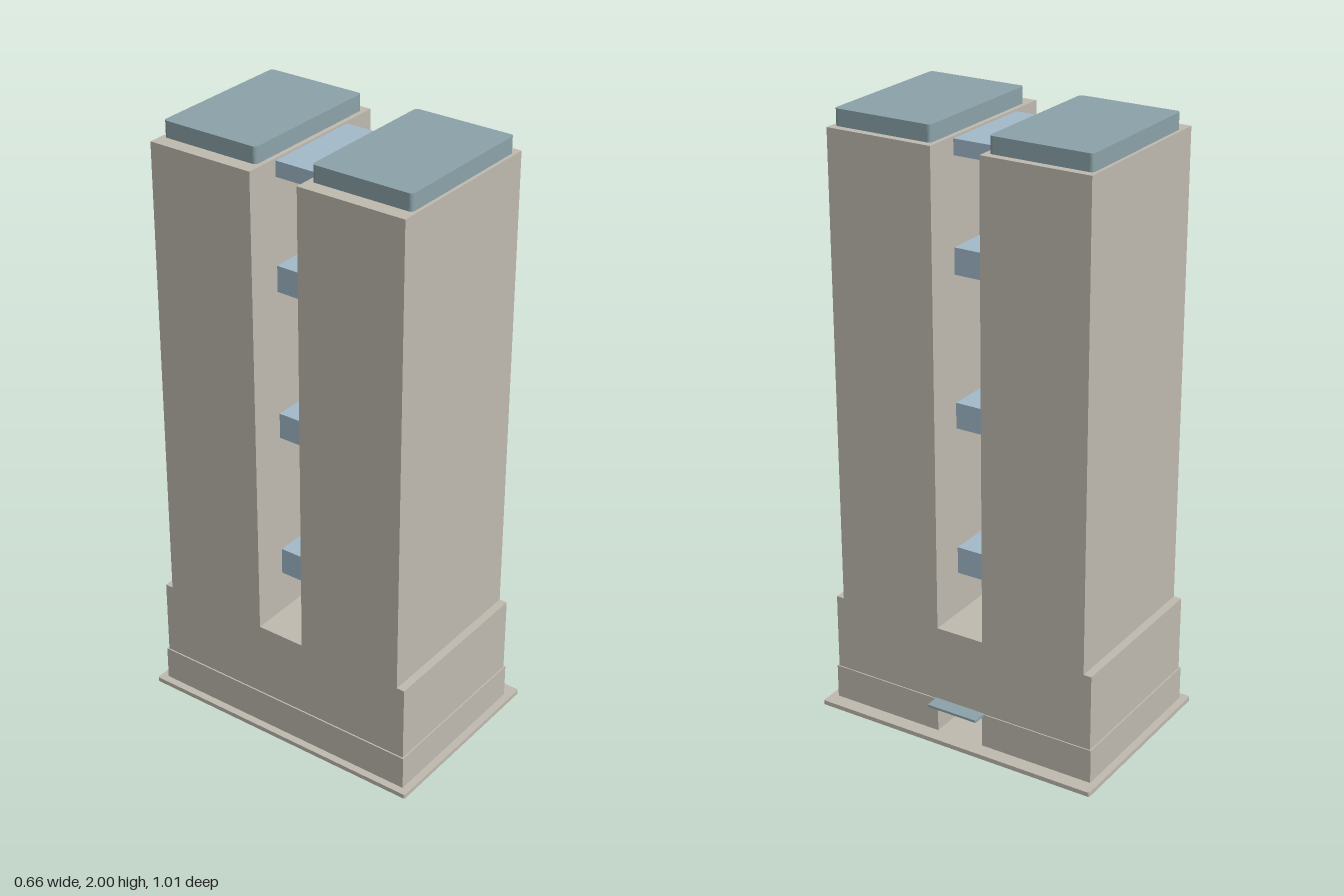
import * as THREE from 'three';

const mat = (name, color) => {
  const m = new THREE.MeshStandardMaterial({ color });
  m.name = name;
  return m;
};

const polygon = (points) => new THREE.Shape(points.map(([x, y]) => new THREE.Vector2(x, y)));

// Plan outline (x, z) raised from y0 to y1
function raise(shape, y0, y1) {
  const g = new THREE.ExtrudeGeometry(shape, { depth: y1 - y0, bevelEnabled: false, curveSegments: 3 });
  return g.rotateX(-Math.PI / 2).translate(0, y0, 0);
}

// Rectangle in plan with small rounded corners
function roundedRect(x0, x1, z0, z1, r) {
  const s = new THREE.Shape();
  s.absarc(x1 - r, z1 - r, r, 0, Math.PI / 2);
  s.absarc(x0 + r, z1 - r, r, Math.PI / 2, Math.PI);
  s.absarc(x0 + r, z0 + r, r, Math.PI, Math.PI * 1.5);
  s.absarc(x1 - r, z0 + r, r, Math.PI * 1.5, Math.PI * 2);
  return s;
}

export function createModel() {
  const group = new THREE.Group();
  group.name = 'twinTowerBuilding';
  const stone = mat('warm stone', 0xc0bab0);
  const roof = mat('teal roof', 0x8ba3a9);
  const glass = mat('pale blue glass', 0xa3bacb);

  const add = (name, geometry, material) => {
    const mesh = new THREE.Mesh(geometry, material);
    mesh.name = name;
    group.add(mesh);
  };

  // Ground slab
  add('groundSlab', raise(roundedRect(-0.33, 0.33, -0.503, 0.503, 0.006), 0, 0.015), stone);

  // Lower course with the entrance recess cut into the +x side
  const recess = 0.15;
  add('lowerCourse', raise(polygon([
    [-0.305, -0.478], [0.281, -0.478], [0.281, -0.083], [recess, -0.083],
    [recess, 0.083], [0.281, 0.083], [0.281, 0.478], [-0.305, 0.478],
  ]), 0.015, 0.13), stone);

  // Podium and both towers as one stepped profile
  const body = new THREE.ExtrudeGeometry(polygon([
    [-0.473, 0.13], [0.473, 0.13], [0.473, 0.387], [0.446, 0.387], [0.446, 1.947], [0.083, 1.947],
    [0.083, 0.387], [-0.083, 0.387], [-0.083, 1.947], [-0.446, 1.947], [-0.446, 0.387], [-0.473, 0.387],
  ]), { depth: 0.577, bevelEnabled: false });
  body.rotateY(Math.PI / 2).translate(-0.3, 0, 0);
  add('podiumAndTowers', body, stone);

  // Roof caps
  for (const [name, z0] of [['frontRoofCap', -0.435], ['backRoofCap', 0.098]]) {
    add(name, raise(roundedRect(-0.252, 0.252, z0, z0 + 0.337, 0.012), 1.947, 2), roof);
  }

  // Glazed bridges between the towers
  [[0.53, 0.62], [1.028, 1.113], [1.525, 1.61], [1.89, 1.94]].forEach(([y0, y1], i) => {
    const g = new THREE.BoxGeometry(0.34, y1 - y0, 0.166);
    add(`skyBridge${i + 1}`, g.translate(-0.012, (y0 + y1) / 2, 0), glass);
  });

  // Entrance canopy
  add('entranceCanopy', raise(roundedRect(0.278, 0.328, -0.09, 0.09, 0.004), 0.125, 0.133), roof);

  return group;
}
